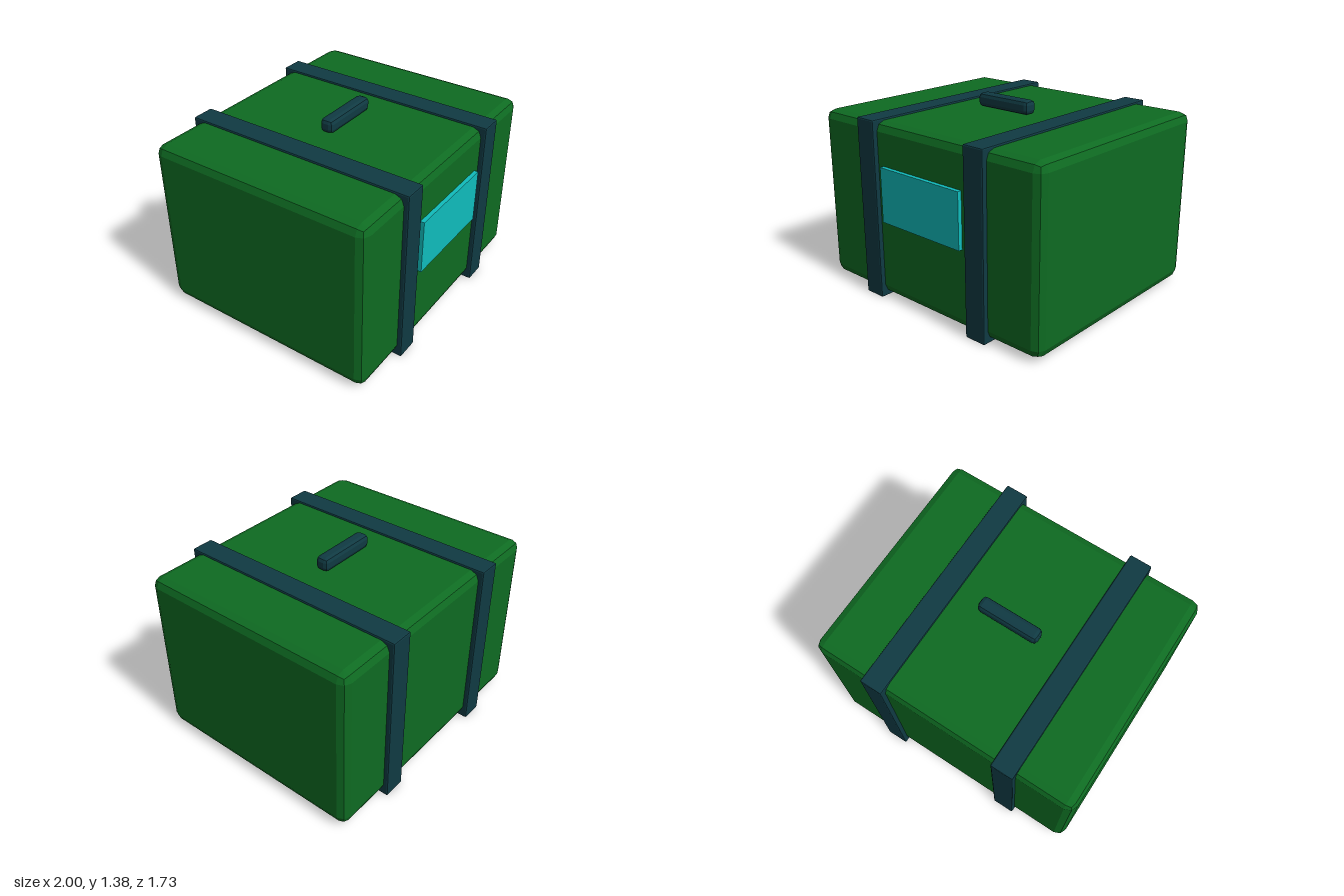
import * as THREE from 'three';
import { RoundedBoxGeometry } from 'three/addons/geometries/RoundedBoxGeometry.js';

const green = new THREE.MeshStandardMaterial({ color: 0x0e6b22 });
green.name = 'green shell';
const navy = new THREE.MeshStandardMaterial({ color: 0x103a43 });
navy.name = 'dark teal trim';
const cyan = new THREE.MeshStandardMaterial({ color: 0x10bdbd });
cyan.name = 'cyan label';

// Box with two flat facets along every edge
function bevelBox(name, size, bevel, material, position) {
  const geometry = new RoundedBoxGeometry(...size, 1, bevel);
  geometry.clearGroups();
  geometry.computeVertexNormals();
  const mesh = new THREE.Mesh(geometry, material);
  mesh.name = name;
  mesh.position.set(...position);
  return mesh;
}

export function createModel() {
  const model = new THREE.Group();
  model.name = 'strappedCase';

  // Main shell
  model.add(bevelBox('body', [2, 1.26, 1.66], 0.065, green, [0, 0.655, 0]));

  // Straps wrapped around the shell
  for (const side of [-1, 1]) {
    const name = side > 0 ? 'leftStrap' : 'rightStrap';
    model.add(bevelBox(name, [0.165, 1.3, 1.73], 0.01, navy, [side * 0.5, 0.65, 0]));
  }

  // Carrying handle
  model.add(bevelBox('handle', [0.46, 0.1, 0.1], 0.03, navy, [0, 1.335, 0]));

  // Front label
  const label = new THREE.Mesh(new THREE.BoxGeometry(0.735, 0.395, 0.06), cyan);
  label.name = 'frontLabel';
  label.position.set(0, 0.788, 0.83);
  model.add(label);

  return model;
}
